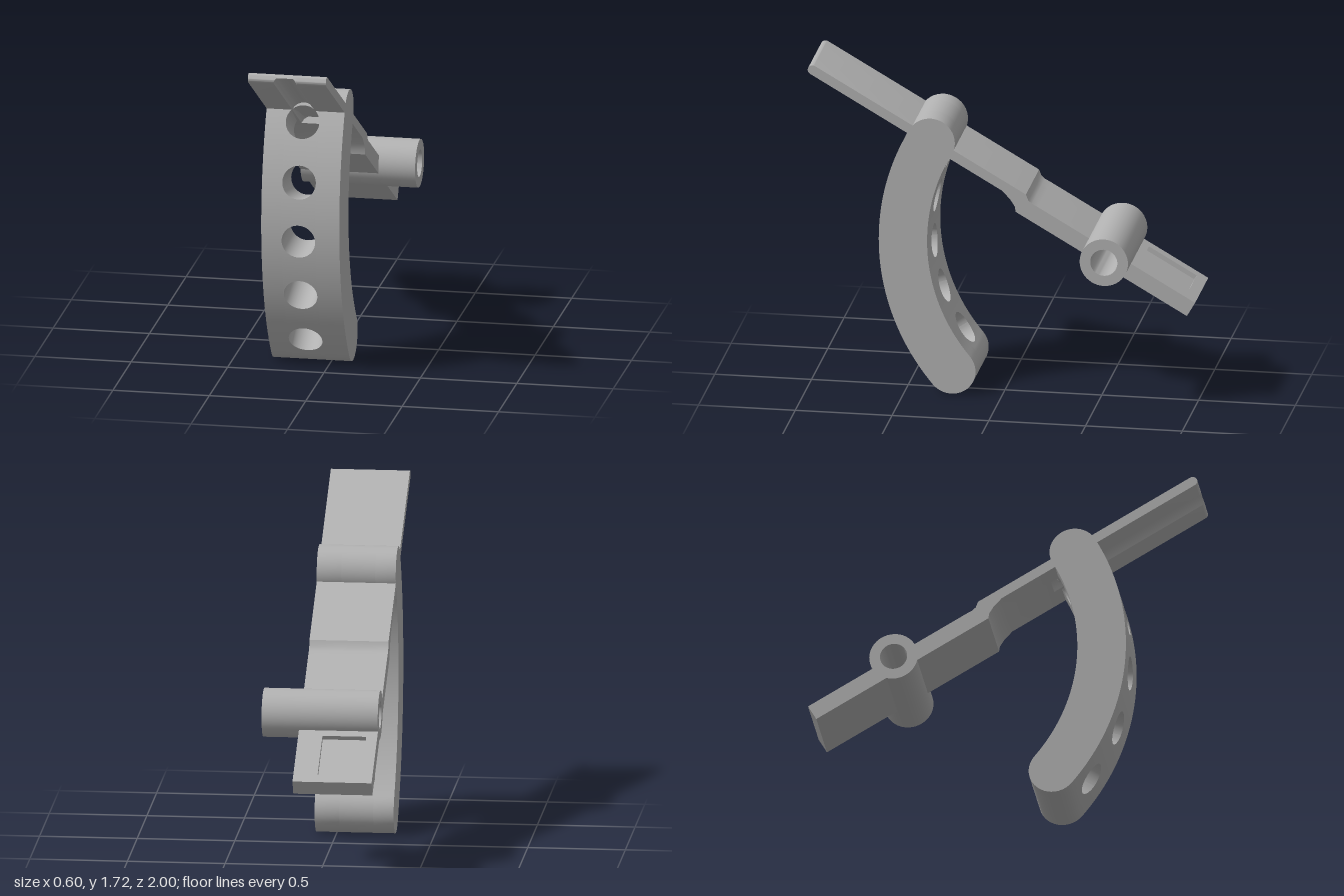
import * as THREE from 'three';
import { toCreasedNormals } from 'three/addons/utils/BufferGeometryUtils.js';

const X0 = -0.3, X1 = 0.105;            // width of lever and arm
const R = 1.07, HALF = 0.125;           // arm centre line radius and half thickness
const HOLE_X = -0.108, HOLE_R = 0.087;
const deg = THREE.MathUtils.degToRad, lerp = THREE.MathUtils.lerp;

// Skins counter-clockwise [u, v] rings standing at rising x, with flat end caps.
// u runs along the lever (local z), v is normal to it (local y).
function loft(stations) {
  const pos = [];
  const put = (s, i) => pos.push(s.x, s.ring[i][1], s.ring[i][0]);
  for (let k = 0; k + 1 < stations.length; k++) {
    const s = stations[k], t = stations[k + 1], n = s.ring.length;
    for (let i = 0; i < n; i++) {
      const j = (i + 1) % n;
      put(s, i); put(t, j); put(s, j);
      put(s, i); put(t, i); put(t, j);
    }
  }
  const cap = (s, flip) => {
    const contour = s.ring.map(([u, v]) => new THREE.Vector2(u, v));
    for (const [a, b, c] of THREE.ShapeUtils.triangulateShape(contour, [])) {
      put(s, a); put(s, flip ? c : b); put(s, flip ? b : c);
    }
  };
  cap(stations[0], false);
  cap(stations[stations.length - 1], true);
  const g = new THREE.BufferGeometry();
  g.setAttribute('position', new THREE.Float32BufferAttribute(pos, 3));
  return toCreasedNormals(g, 0.6);
}

// Points of a circular arc
function arc(cu, cv, r, from, to, n) {
  return Array.from({ length: n + 1 }, (_, i) => {
    const a = lerp(from, to, i / n);
    return [cu + r * Math.cos(a), cv + r * Math.sin(a)];
  });
}

const ARM_LOW = deg(-70);

// Side outline of a piece of the arm; a(r) and b(r) give its end angles
function sector(a, b, n, capLow, capHigh) {
  const ro = R + HALF, ri = R - HALF;
  const ring = arc(0, 0, ro, a(ro), b(ro), n);
  if (capHigh) ring.push(...arc(R, 0, HALF, 0, Math.PI, 20).slice(1, -1));
  ring.push(...arc(0, 0, ri, b(ri), a(ri), n));
  if (capLow) {
    ring.push(...arc(R * Math.cos(ARM_LOW), R * Math.sin(ARM_LOW), HALF,
      ARM_LOW + Math.PI, ARM_LOW + 2 * Math.PI, 20).slice(1, -1));
  }
  return ring;
}

export function createModel() {
  const grey = new THREE.MeshStandardMaterial({ color: 0xb2b2b2 });
  grey.name = 'grey';
  const model = new THREE.Group();
  model.name = 'leverWithArm';
  // Everything is laid out around the pivot, along the tilted lever
  const body = new THREE.Group();
  body.name = 'tiltedBody';
  body.position.set(0, 0.813, -0.56);
  body.rotation.x = -Math.PI / 6;
  model.add(body);
  const add = (name, geometry, parent = body) => {
    const m = new THREE.Mesh(geometry, grey);
    m.name = name;
    parent.add(m);
  };

  // Curved arm: two solid cheeks and, between them, webs separating the holes
  const arm = new THREE.Group();
  arm.name = 'curvedArm';
  body.add(arm);
  const cheek = sector(() => ARM_LOW, () => 0, 56, true, true);
  const xa = HOLE_X - HOLE_R, xb = HOLE_X + HOLE_R;
  add('rightCheek', loft([{ x: X0, ring: cheek }, { x: xa, ring: cheek }]), arm);
  add('leftCheek', loft([{ x: xb, ring: cheek }, { x: X1, ring: cheek }]), arm);

  const holes = [-63.7, -48.8, -33.9, -19, -4.1].map(deg);
  for (let i = 0; i <= holes.length; i++) {
    const first = i === 0, last = i === holes.length;
    const stations = [];
    for (let k = 0; k <= 24; k++) {
      const t = Math.PI * k / 24, c = HOLE_R * Math.sin(t);
      const low = r => first ? ARM_LOW : Math.min(0, holes[i - 1] + Math.asin(c / r));
      const high = r => last ? 0 : holes[i] - Math.asin(c / r);
      stations.push({ x: HOLE_X - HOLE_R * Math.cos(t), ring: sector(low, high, 12, first, last) });
    }
    add('armWeb', loft(stations), arm);
  }

  // Lever blade: stepped plate with round tip and a round groove underneath
  const T = 0.025, GROOVE_R = 0.062;
  const bladeRing = x => {
    const dx = x - HOLE_X;
    const g = Math.max(-T, -0.045 + Math.sqrt(Math.max(0, GROOVE_R ** 2 - dx * dx)));
    const tip = arc(1.775, 0, T, -Math.PI / 2, Math.PI / 2, 16)
      .map(([u, v]) => [u, v < 0 ? Math.min(-v, Math.max(v, g)) : v]);
    return [
      [0.085, -0.085], [0.514, -0.085], [0.532, -0.063], [0.57, -0.043], [0.629, -T],
      [0.9, -T], [0.9, g], ...tip,
      [0.516, T], [0.49, 0.004], [0.465, -0.001], [0.43, 0], [0.085, 0],
    ];
  };
  const bladeX = [X0];
  for (let k = 0; k <= 20; k++) bladeX.push(HOLE_X - GROOVE_R * Math.cos(Math.PI * k / 20));
  bladeX.push(X1);
  add('leverBlade', loft(bladeX.map(x => ({ x, ring: bladeRing(x) }))));

  // Lever tail: plate with a shallow rectangular pocket on top
  const tailRing = d => [
    [-0.508, -0.085], [-0.085, -0.085], [-0.085, 0],
    [-0.165, 0], [-0.165, -d], [-0.45, -d], [-0.45, 0], [-0.508, 0],
  ];
  const pocket = [[X0, 0], [-0.243, 0], [-0.243, 0.025], [-0.019, 0.025], [-0.019, 0], [X1, 0]];
  add('leverTail', loft(pocket.map(([x, d]) => ({ x, ring: tailRing(d) }))));

  // Pivot sleeve with open bore, longer on the left
  const tube = [[0.07, X0], [0.125, X0], [0.125, 0.295], [0.07, 0.295], [0.07, X0]]
    .map(([r, y]) => new THREE.Vector2(r, y));
  const sleeve = new THREE.LatheGeometry(tube, 48).rotateZ(-Math.PI / 2);
  add('pivotSleeve', toCreasedNormals(sleeve, 0.6));

  return model;
}
